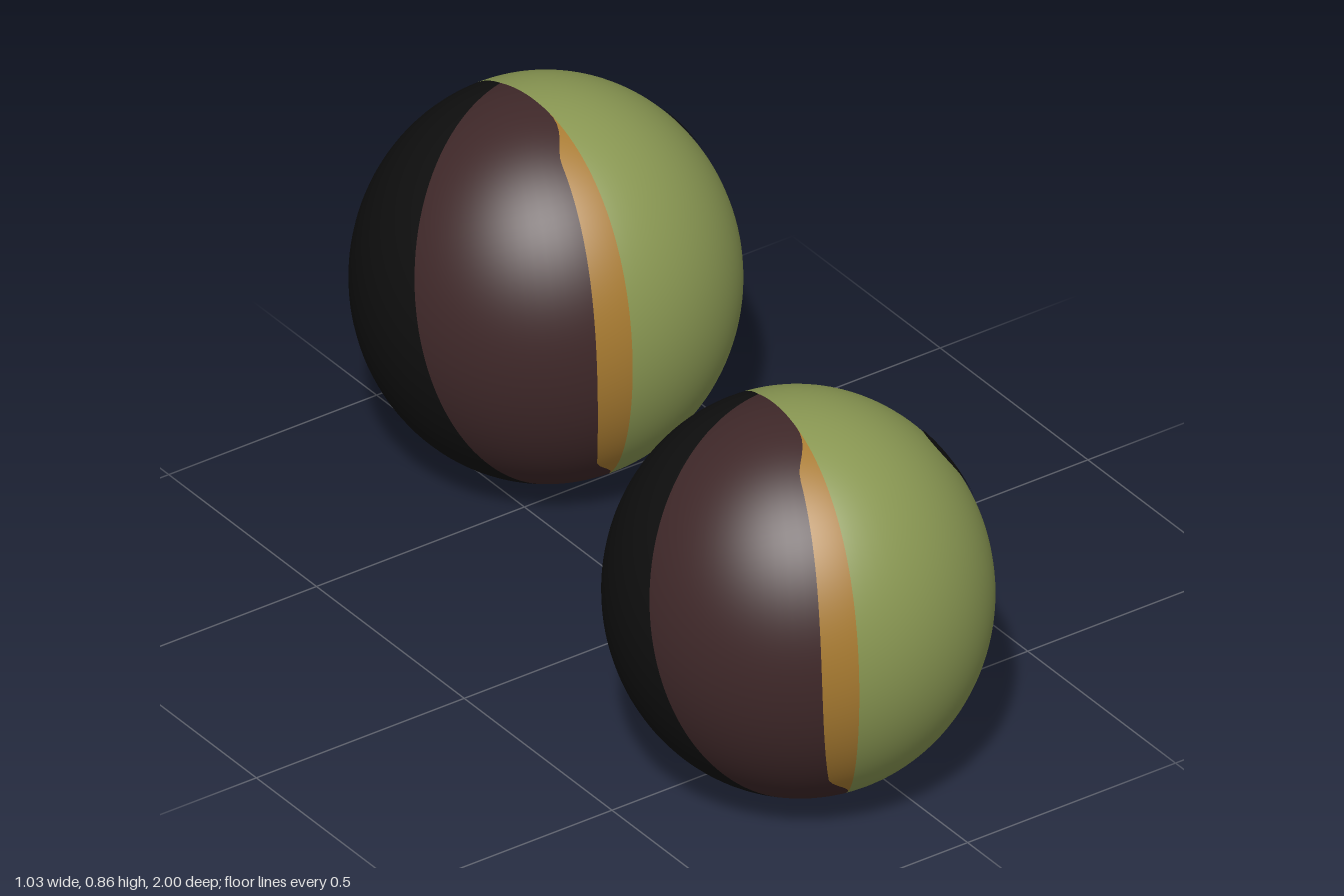
import * as THREE from 'three';
import { ParametricGeometry } from 'three/addons/geometries/ParametricGeometry.js';

const RAD = Math.PI / 180;
const { clamp, smoothstep } = THREE.MathUtils;

function flat(name, color) {
  const m = new THREE.MeshStandardMaterial({ color });
  m.name = name;
  return m;
}

// Unit sphere to slightly leaning egg shape
const eggShape = new THREE.Matrix4().set(
  0.385, -0.015, 0, 0,
  0, 0.43, 0, 0,
  0, 0.02, 0.39, 0,
  0, 0, 0, 1
);
const axisTilt = new THREE.Matrix4().makeRotationX(-20 * RAD);

// Turns a patch on the unit sphere into a smooth patch on the egg
function onEgg(geometry) {
  geometry.setAttribute('normal', geometry.attributes.position.clone());
  return geometry.applyMatrix4(eggShape);
}

// Sector between two longitudes (degrees) that vary with height h = 1..-1
function sector(from, to, slices) {
  const g = new ParametricGeometry((u, v, p) => {
    const h = Math.cos(Math.PI * v), r = Math.sin(Math.PI * v);
    const a = (from(h) + (to(h) - from(h)) * u) * RAD;
    p.set(r * Math.cos(a), h, r * Math.sin(a));
  }, slices, 64);
  return onEgg(g.applyMatrix4(axisTilt));
}

// Upright rounded slit facing +x
function slit() {
  const top = 0.72, bottom = -0.49, half = 0.14, cap = 0.13;
  return onEgg(new ParametricGeometry((u, v, p) => {
    const t = (1 - Math.cos(Math.PI * v)) / 2;
    const y = top + (bottom - top) * t;
    const e = clamp(1 - Math.min(top - y, y - bottom) / cap, 0, 1);
    const z = 0.245 - 0.116 * y + (2 * u - 1) * half * Math.sqrt(1 - e * e);
    p.set(Math.sqrt(1 - y * y - z * z), y, z).multiplyScalar(1.006);
  }, 10, 48));
}

export function createModel() {
  const model = new THREE.Group();
  model.name = 'eyePair';
  const green = flat('olive green', 0x8a9853);
  const brown = flat('dark brown', 0x3f2829);
  const orange = flat('amber', 0xa87b31);
  const black = flat('black', 0x0f0f0f);

  // Sector edges
  const backEdge = () => -75;
  const sliverEdge = h => -75 + 12 * smoothstep(-h, 0.3, 0.55) * (1 - smoothstep(-h, 0.75, 0.92));
  const bandStart = h => 106.5 - 7 * h;
  const bandEnd = h => bandStart(h) + (11 - 2 * h) *
    (1 - smoothstep(h, 0.72, 0.9)) * (1 - smoothstep(-h, 0.8, 0.95));
  const sideEdge = () => 172;

  const parts = [
    ['iris', sector(sliverEdge, bandStart, 40), green],
    ['irisBand', sector(bandStart, bandEnd, 4), orange],
    ['sideShell', sector(bandEnd, sideEdge, 14), brown],
    ['backShell', sector(sideEdge, () => 285, 26), black],
    ['lowerSliver', sector(backEdge, sliverEdge, 3), brown],
    ['pupil', slit(), black]
  ];

  // Two matching eyes, the second turned slightly
  for (const [name, x, z, turn] of [['frontEye', -0.13, 0.61, 0], ['rearEye', 0.13, -0.61, 8]]) {
    const eye = new THREE.Group();
    eye.name = name;
    for (const [part, geometry, material] of parts) {
      const mesh = new THREE.Mesh(geometry, material);
      mesh.name = part;
      eye.add(mesh);
    }
    eye.position.set(x, 0.43, z);
    eye.rotation.y = turn * RAD;
    model.add(eye);
  }
  return model;
}
